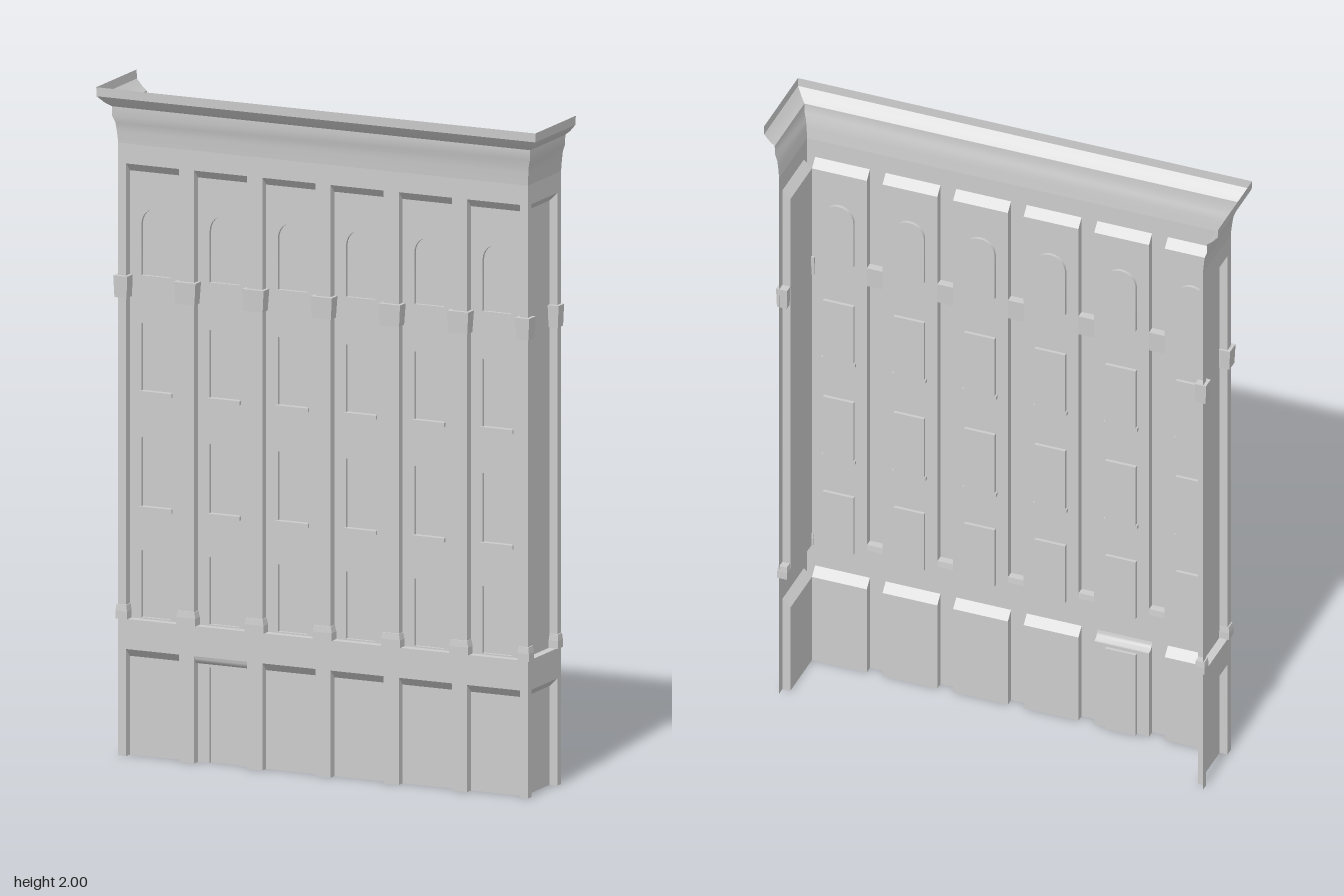
import * as THREE from 'three';
import { toCreasedNormals } from 'three/addons/utils/BufferGeometryUtils.js';

const mat = new THREE.MeshStandardMaterial({ color: 0xcccccc, side: THREE.DoubleSide });
const FACE_Z = 0.087, BACK_Z = -0.133, HALF_W = 0.665; // outer wall planes
const DEPTH = 0.025, INSET = 0.01;                     // panel and window recess
const BAY = 0.2215, PANEL = 0.086;                     // bay pitch, half panel width

function add(parent, name, geometry) {
  const mesh = new THREE.Mesh(geometry, mat);
  mesh.name = name;
  parent.add(mesh);
  return mesh;
}

// Surface through rows of 3D points; each row has the same count
function loft(rows, closed = false) {
  const n = rows[0].length, index = [];
  for (let r = 0; r < rows.length - 1; r++) {
    for (let i = 0; i < (closed ? n : n - 1); i++) {
      const a = r * n + i, b = r * n + (i + 1) % n;
      index.push(a, b, b + n, a, b + n, a + n);
    }
  }
  const g = new THREE.BufferGeometry();
  g.setAttribute('position', new THREE.Float32BufferAttribute(rows.flat(2), 3));
  g.setIndex(index);
  return toCreasedNormals(g, 0.65);
}

const atZ = (pts, z) => pts.map(([x, y]) => [x, y, z]);

// Flat sheet with holes, at depth z
function sheet(outline, holes, z) {
  const v = pts => pts.map(([x, y]) => new THREE.Vector2(x, y));
  const shape = new THREE.Shape(v(outline));
  shape.holes = holes.map(h => new THREE.Path(v(h)));
  return new THREE.ShapeGeometry(shape).translate(0, 0, z);
}

// Open outline: up the left, over the top, down the right
const rect = (x0, x1, y0, y1) => [[x0, y0], [x0, y1], [x1, y1], [x1, y0]];

function arch(c, r, y0, y1) {
  const pts = [[c - r, y0]];
  for (let i = 0; i <= 12; i++) {
    const a = Math.PI * (1 - i / 12);
    pts.push([c + r * Math.cos(a), y1 - r + r * Math.sin(a)]);
  }
  return [...pts, [c + r, y0]];
}

// Recessed panel with a sloped or coved head, and inset openings
function recess(parent, name, x0, x1, y0, y1, { openings = [], door = null, open = false }) {
  const steps = door ? 5 : 1, rows = [];
  for (let i = 0; i <= steps; i++) {
    const t = i / steps, a = t * Math.PI / 2;
    const drop = DEPTH * (door ? Math.sin(a) : t), back = DEPTH * (door ? 1 - Math.cos(a) : t);
    rows.push(atZ(rect(x0, x1, y0, y1 - drop), -back));
  }
  add(parent, name + 'Reveal', loft(rows, !open));
  let outline = rect(x0, x1, y0, y1 - DEPTH);
  if (door) outline = [...outline, ...[...door].reverse()];
  add(parent, name, sheet(outline, openings, -DEPTH));
  for (const o of door ? [door] : openings) {
    const label = door ? 'door' : 'window';
    add(parent, label + 'Reveal', loft([atZ(o, -DEPTH), atZ(o, -DEPTH - INSET)], !door));
    add(parent, label + 'Pane', sheet(o, [], -DEPTH - INSET));
  }
}

// Wall: face sheet with ground-floor notches and tall upper panels
function wall(parent, name, u0, u1, bays, front) {
  const g = new THREE.Group();
  g.name = name;
  parent.add(g);
  const outline = [[u0, 0], [u0, 1.83], [u1, 1.83], [u1, 0]];
  for (const [a, b] of [...bays].reverse()) outline.push(...rect(a, b, 0, 0.32).reverse());
  add(g, 'wallFace', sheet(outline, bays.map(([a, b]) => rect(a, b, 0.41, 1.77)), 0));
  bays.forEach(([a, b], i) => {
    const c = (a + b) / 2, w = 0.048;
    const openings = front ? [
      rect(c - w, c + w, 0.414, 0.615), rect(c - w, c + w, 0.74, 0.952),
      rect(c - w, c + w, 1.085, 1.293), arch(c, w, 1.435, 1.637)] : [];
    recess(g, 'upperPanel', a, b, 0.41, 1.77, { openings });
    const door = front && i === 1 ? rect(c - w, c + w, 0, 0.285) : null;
    recess(g, 'groundPanel', a, b, 0, 0.32, { door, open: true });
    if (front) for (const y of [0.74, 1.085]) {
      block(g, 'windowSill', [c - 0.053, c + 0.053], [y - 0.006, y + 0.006], [-0.035, -0.017]);
    }
  });
  return g;
}

// Box given by ranges, with its top and bottom scaled about its centre
function block(parent, name, [x0, x1], [y0, y1], [z0, z1], top = 1, bottom = 1) {
  const geo = new THREE.BoxGeometry(x1 - x0, y1 - y0, z1 - z0), p = geo.attributes.position;
  for (let i = 0; i < p.count; i++) {
    const s = p.getY(i) > 0 ? top : bottom;
    p.setX(i, p.getX(i) * s);
    p.setZ(i, p.getZ(i) * s);
  }
  const mesh = add(parent, name, toCreasedNormals(geo, 0.3));
  mesh.position.set((x0 + x1) / 2, (y0 + y1) / 2, (z0 + z1) / 2);
}

// Pilaster base with chamfered top, and flared capital
function pilasterTrim(parent, x, z, grow) {
  const out = (r, k) => [r[0] - k * grow[0], r[1] + k * grow[1]];
  const deep = (r, k) => [r[0] - k * grow[2], r[1] + k * grow[3]];
  block(parent, 'pilasterBase', out(x, 0.006), [0.41, 0.433], deep(z, 0.006));
  block(parent, 'pilasterBaseChamfer', out(x, 0.006), [0.433, 0.452], deep(z, 0.006), 0.88);
  block(parent, 'pilasterCapital', out(x, 0.01), [1.37, 1.435], deep(z, 0.013), 1, 0.88);
}

export function createModel() {
  const model = new THREE.Group();
  model.name = 'buildingFacade';

  // Front wall with six bays
  const bays = [];
  for (let i = 0; i < 6; i++) {
    const c = (i - 2.5) * BAY;
    bays.push([c - PANEL, c + PANEL]);
  }
  wall(model, 'frontWall', -HALF_W, HALF_W, bays, true).position.z = FACE_Z;

  // Side returns, one panel each
  for (const s of [-1, 1]) {
    const span = (a, b) => [-s * a, -s * b].sort((p, q) => p - q);
    const [u0, u1] = span(FACE_Z, BACK_Z);
    const side = wall(model, s > 0 ? 'leftWall' : 'rightWall', u0, u1,
      [span(FACE_Z - 0.025, BACK_Z + 0.025)], false);
    side.rotation.y = s * Math.PI / 2;
    side.position.x = s * HALF_W;
  }

  // Pilaster trim: between bays, at the front corners and at the rear ends
  const trim = new THREE.Group();
  trim.name = 'pilasterTrim';
  model.add(trim);
  const zFront = [FACE_Z - DEPTH, FACE_Z];
  for (let i = -2; i <= 2; i++) {
    pilasterTrim(trim, [i * BAY - 0.0248, i * BAY + 0.0248], zFront, [1, 1, 0, 1]);
  }
  for (const s of [-1, 1]) {
    const x = s > 0 ? [HALF_W - 0.025, HALF_W] : [-HALF_W, -HALF_W + 0.025];
    pilasterTrim(trim, x, zFront, [1, 1, 0.5, 1]);
    pilasterTrim(trim, x, [BACK_Z, BACK_Z + 0.025], [s < 0 ? 1 : 0, s > 0 ? 1 : 0, 0, 1]);
  }

  // Open moulded cornice, mitred around the corners
  const profile = [[0, 1.83], [0.003, 1.865], [0.006, 1.89], [0.013, 1.91],
    [0.014, 1.94], [0.03, 1.953], [0.047, 1.973], [0.048, 2]];
  add(model, 'cornice', loft(profile.map(([o, y]) => [
    [-HALF_W - o, y, BACK_Z], [-HALF_W - o, y, FACE_Z + o],
    [HALF_W + o, y, FACE_Z + o], [HALF_W + o, y, BACK_Z]])));

  return model;
}
